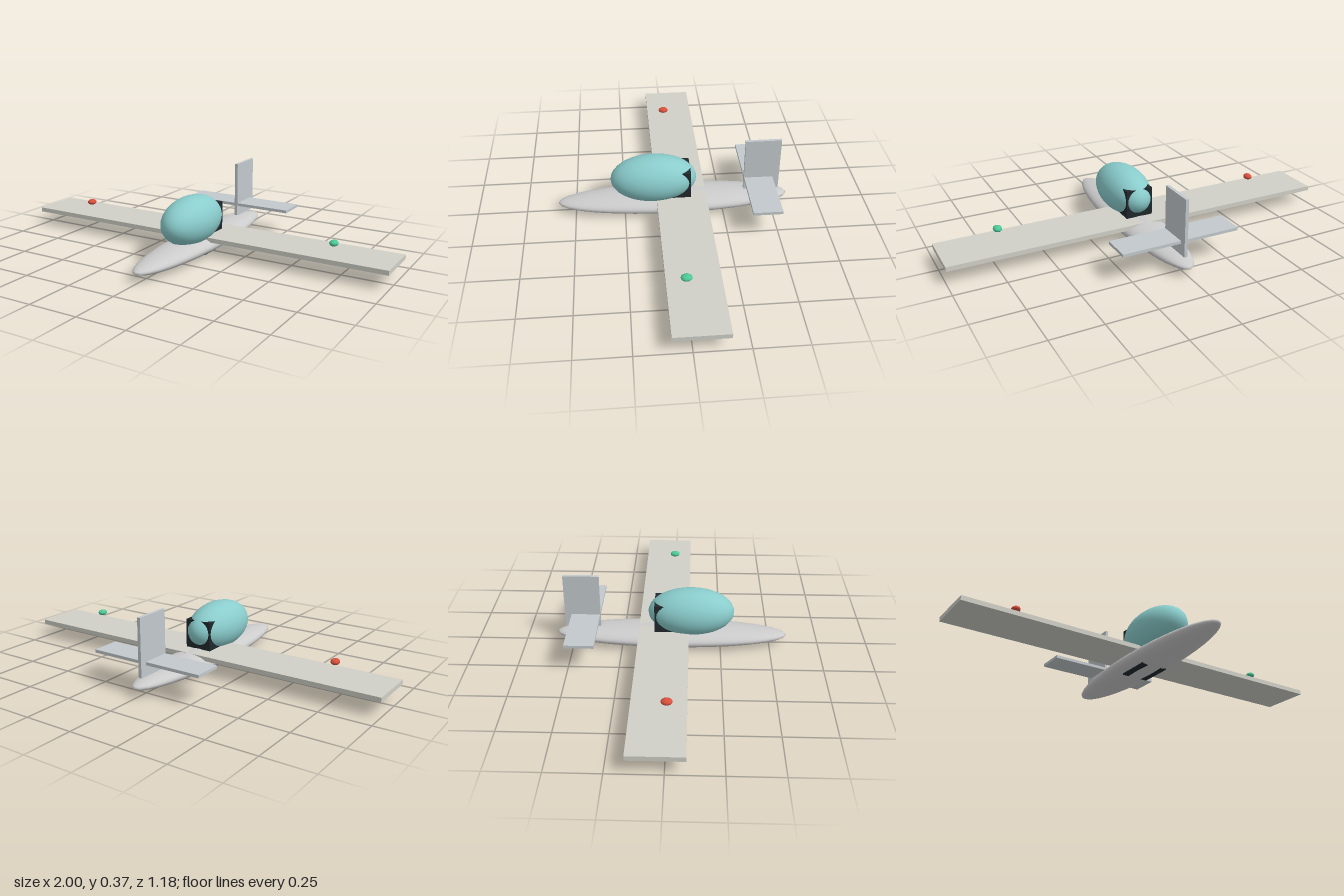
import * as THREE from 'three';

export function createModel() {
  const model = new THREE.Group();

  const add = (name, geometry, color, position) => {
    const mesh = new THREE.Mesh(geometry, new THREE.MeshStandardMaterial({ color }));
    mesh.name = name;
    mesh.position.set(...position);
    model.add(mesh);
    return mesh;
  };
  const ellipsoid = (name, color, position, radii) =>
    add(name, new THREE.SphereGeometry(1, 32, 20).scale(...radii), color, position);
  const box = (name, color, position, size) =>
    add(name, new THREE.BoxGeometry(...size), color, position);

  // Body and bubble canopy
  ellipsoid('fuselage', 0xcccccc, [0, 0.051, 0], [0.117, 0.049, 0.588]);
  ellipsoid('canopy', 0x8acccc, [0, 0.182, 0.1], [0.12, 0.121, 0.217]);

  // Dark cockpit block, its corners showing through canopy and belly
  box('cockpitInterior', 0x20282c, [0, 0.124, 0.003], [0.14, 0.238, 0.174]);

  // Straight main wing
  box('wing', 0xd0d0c8, [0, 0.0865, -0.037], [2, 0.023, 0.252]);

  // Tail surfaces
  const tailColor = 0xc2c9cc;
  box('tailplane', tailColor, [0, 0.15, -0.436], [0.6, 0.015, 0.145]);
  box('tailFin', tailColor, [0, 0.231, -0.452], [0.016, 0.287, 0.18]);

  // Navigation lights hovering above the wing
  const lights = [['leftLight', 1, 0x4cc896], ['rightLight', -1, 0xd8503c]];
  for (const [name, side, color] of lights)
    ellipsoid(name, color, [side * 0.708, 0.151, 0], [0.021, 0.015, 0.026]);

  return model;
}
